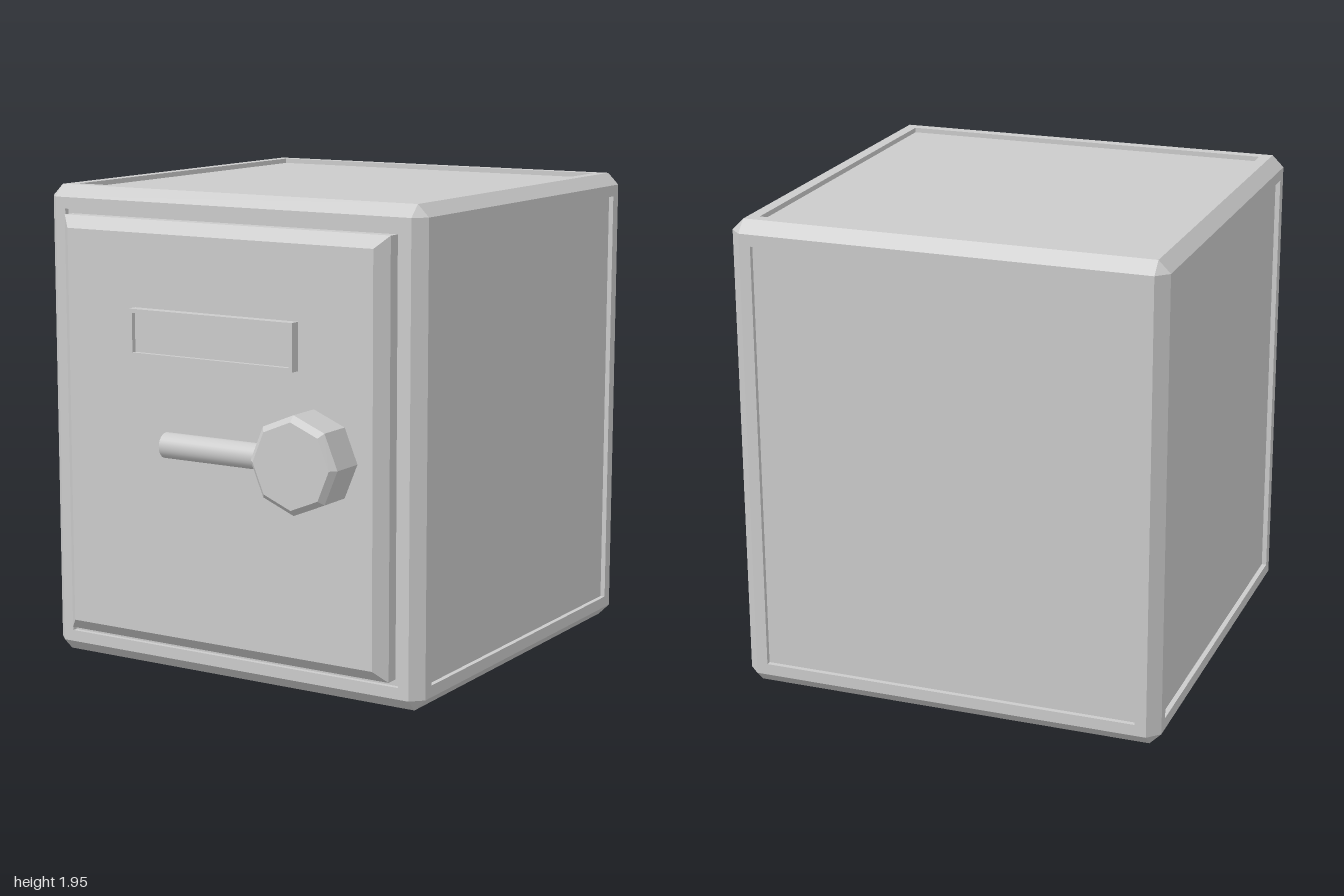
import * as THREE from 'three';

const material = new THREE.MeshStandardMaterial({ color: 0xcccccc, flatShading: true });
const smooth = new THREE.MeshStandardMaterial({ color: 0xcccccc });

function add(parent, name, geometry, x = 0, y = 0, z = 0, mat = material) {
  const mesh = new THREE.Mesh(geometry, mat);
  mesh.name = name;
  mesh.position.set(x, y, z);
  parent.add(mesh);
  return mesh;
}

function rectangle(w, h, Type = THREE.Shape) {
  return new Type([[-1, -1], [1, -1], [1, 1], [-1, 1]].map(([x, y]) => new THREE.Vector2(x * w / 2, y * h / 2)));
}

// Box with chamfered edges and a sunken panel in each of its six faces
function panelledBox(half, chamfer, inset, depth) {
  const positions = [];
  const point = (a, va, b, vb, c, vc) => {
    const p = new THREE.Vector3();
    return p.setComponent(a, va).setComponent(b, vb).setComponent(c, vc);
  };
  // Adds a convex polygon, wound so that it faces along "out"
  const polygon = (pts, out) => {
    const n = pts[1].clone().sub(pts[0]).cross(pts[2].clone().sub(pts[0]));
    if (n.dot(out) < 0) pts = pts.slice().reverse();
    for (let i = 1; i < pts.length - 1; i++) {
      for (const p of [pts[0], pts[i], pts[i + 1]]) positions.push(p.x, p.y, p.z);
    }
  };
  const turns = [[-1, -1], [1, -1], [1, 1], [-1, 1]];

  for (let a = 0; a < 3; a++) {
    const b = (a + 1) % 3, c = (a + 2) % 3;
    for (const s of [-1, 1]) {
      // Rim, recess walls and sunken panel
      const ring = (margin, sink) => turns.map(([u, v]) =>
        point(a, s * (half[a] - sink), b, u * (half[b] - margin), c, v * (half[c] - margin)));
      const outer = ring(chamfer, 0), lip = ring(inset, 0), floor = ring(inset, depth);
      const out = point(a, s, b, 0, c, 0);
      for (let i = 0; i < 4; i++) {
        const j = (i + 1) % 4;
        polygon([outer[i], outer[j], lip[j], lip[i]], out);
        const inward = lip[i].clone().add(lip[j]).multiplyScalar(-1).setComponent(a, 0);
        polygon([lip[i], lip[j], floor[j], floor[i]], inward);
      }
      polygon(floor, out);
    }
    // Edge chamfers running along axis a
    for (const [u, v] of turns) {
      const l = half[a] - chamfer;
      const edge = (t, fb, fc) => point(a, t * l, b, u * (half[b] - fb), c, v * (half[c] - fc));
      polygon([edge(-1, 0, chamfer), edge(1, 0, chamfer), edge(1, chamfer, 0), edge(-1, chamfer, 0)],
        point(a, 0, b, u, c, v));
    }
  }
  // Corner triangles
  for (const [u, v] of turns) {
    for (const w of [-1, 1]) {
      const sign = [u, v, w];
      polygon([0, 1, 2].map(k => new THREE.Vector3(
        ...sign.map((s, i) => s * (half[i] - (i === k ? 0 : chamfer))))), new THREE.Vector3(...sign));
    }
  }
  const geometry = new THREE.BufferGeometry();
  geometry.setAttribute('position', new THREE.Float32BufferAttribute(positions, 3));
  geometry.computeVertexNormals();
  return geometry;
}

export function createModel() {
  const model = new THREE.Group();
  model.name = 'safe';

  add(model, 'body', panelledBox([0.877, 0.977, 0.877], 0.048, 0.095, 0.02), 0, 0.977, -0.123);

  // Bevelled door, its rear bevel buried in the body
  add(model, 'door', new THREE.ExtrudeGeometry(rectangle(1.424, 1.624), {
    depth: 0.06, bevelSize: 0.048, bevelThickness: 0.046, bevelSegments: 1,
  }), 0, 0.98, 0.726);

  // Name plate with a raised rim
  const plate = new THREE.Group();
  plate.name = 'plate';
  plate.position.set(0, 1.4, 0.82);
  model.add(plate);
  const rim = rectangle(0.764, 0.19);
  rim.holes.push(rectangle(0.732, 0.158, THREE.Path));
  add(plate, 'plateRim', new THREE.ExtrudeGeometry(rim, { depth: 0.056, bevelEnabled: false }));
  add(plate, 'platePanel', new THREE.BoxGeometry(0.734, 0.16, 0.036), 0, 0, 0.018);

  // Octagonal knob with a chamfered front, and its round lever
  const handle = new THREE.Group();
  handle.name = 'handle';
  handle.position.set(0.452, 0.97, 0.82);
  model.add(handle);
  const profile = [[0, 0], [0.194, 0], [0.194, 0.157], [0.17, 0.18], [0, 0.18]];
  const knob = new THREE.LatheGeometry(profile.map(p => new THREE.Vector2(...p)), 8);
  add(handle, 'knob', knob.rotateX(Math.PI / 2));
  const lever = new THREE.CylinderGeometry(0.051, 0.051, 0.54, 32).rotateZ(Math.PI / 2);
  add(handle, 'lever', lever, -0.373, 0, 0.079, smooth);

  return model;
}
